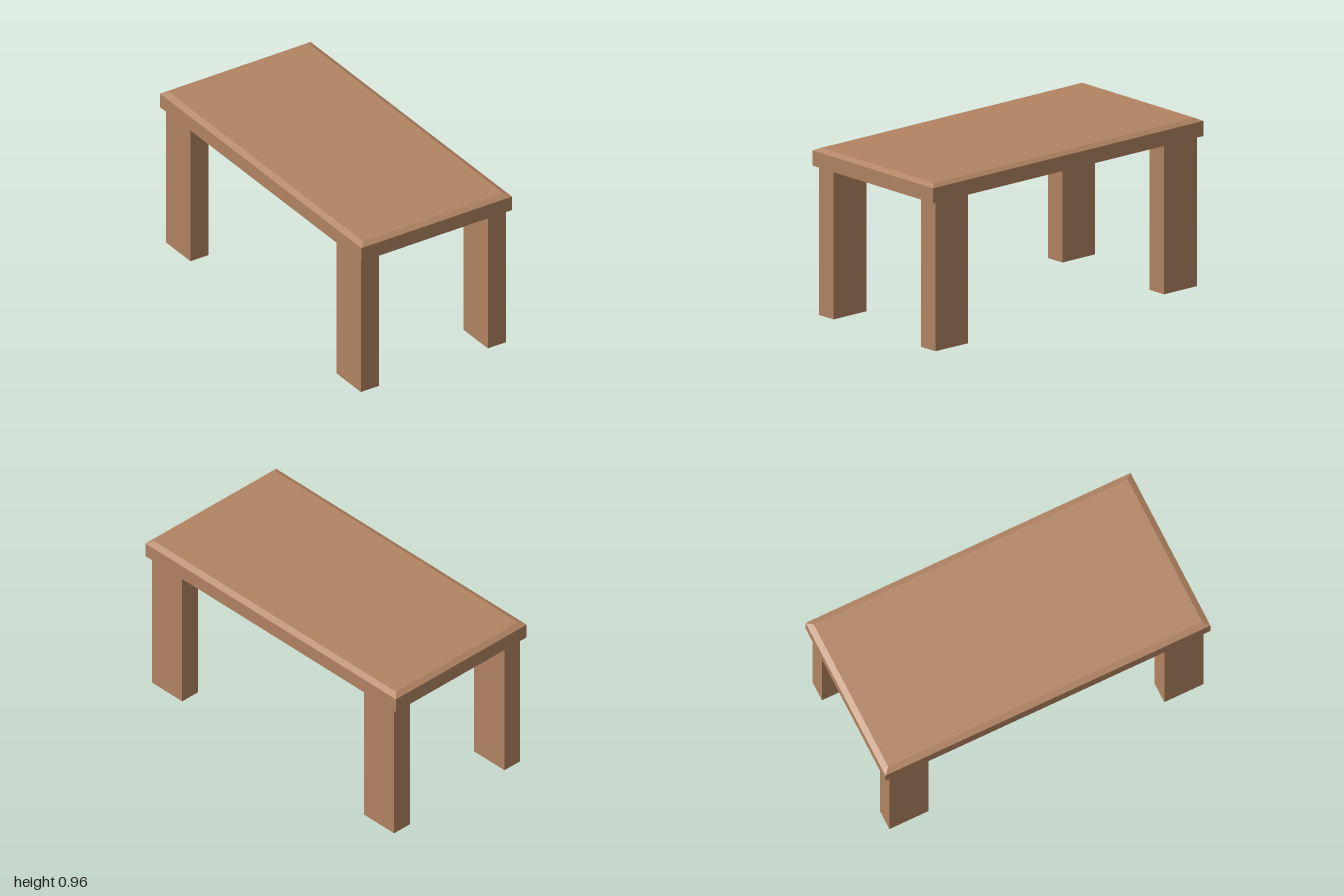
import * as THREE from 'three';

// Closed solid from stacked rectangular rings [halfX, y, halfZ], listed bottom to top
function ringSolid(rings) {
  const corners = rings.map(([x, y, z]) => [[x, y, z], [x, y, -z], [-x, y, -z], [-x, y, z]]);
  const pos = [];
  const quad = (a, b, c, d) => pos.push(...a, ...b, ...c, ...a, ...c, ...d);
  for (let i = 0; i < corners.length - 1; i++) {
    const lo = corners[i], hi = corners[i + 1];
    for (let k = 0; k < 4; k++) {
      const n = (k + 1) % 4;
      quad(lo[k], lo[n], hi[n], hi[k]);
    }
  }
  const bottom = corners[0], top = corners[corners.length - 1];
  quad(top[0], top[1], top[2], top[3]);
  quad(bottom[3], bottom[2], bottom[1], bottom[0]);
  const geometry = new THREE.BufferGeometry();
  geometry.setAttribute('position', new THREE.Float32BufferAttribute(pos, 3));
  geometry.computeVertexNormals();
  return geometry;
}

export function createModel() {
  const table = new THREE.Group();
  table.name = 'table';
  const wood = new THREE.MeshStandardMaterial({ color: 0xb28463, flatShading: true });

  // Tabletop: bevelled upper rim and shallow sloped recess underneath
  const bevel = 0.034, rise = 0.017;
  const tabletop = new THREE.Mesh(ringSolid([
    [0.5 - bevel, 0.861 + rise, 1 - bevel],
    [0.5, 0.861, 1],
    [0.5, 0.948, 1],
    [0.5 - bevel, 0.948 + rise, 1 - bevel],
  ]), wood);
  tabletop.name = 'tabletop';
  table.add(tabletop);

  // Four rectangular legs reaching up into the recess
  const legHeight = 0.861 + rise;
  const legGeometry = new THREE.BoxGeometry(0.12, legHeight, 0.242);
  for (const [sz, end] of [[1, 'front'], [-1, 'back']]) {
    for (const [sx, side] of [[1, 'Left'], [-1, 'Right']]) {
      const leg = new THREE.Mesh(legGeometry, wood);
      leg.name = `${end}${side}Leg`;
      leg.position.set(sx * 0.422, legHeight / 2, sz * 0.846);
      table.add(leg);
    }
  }
  return table;
}
